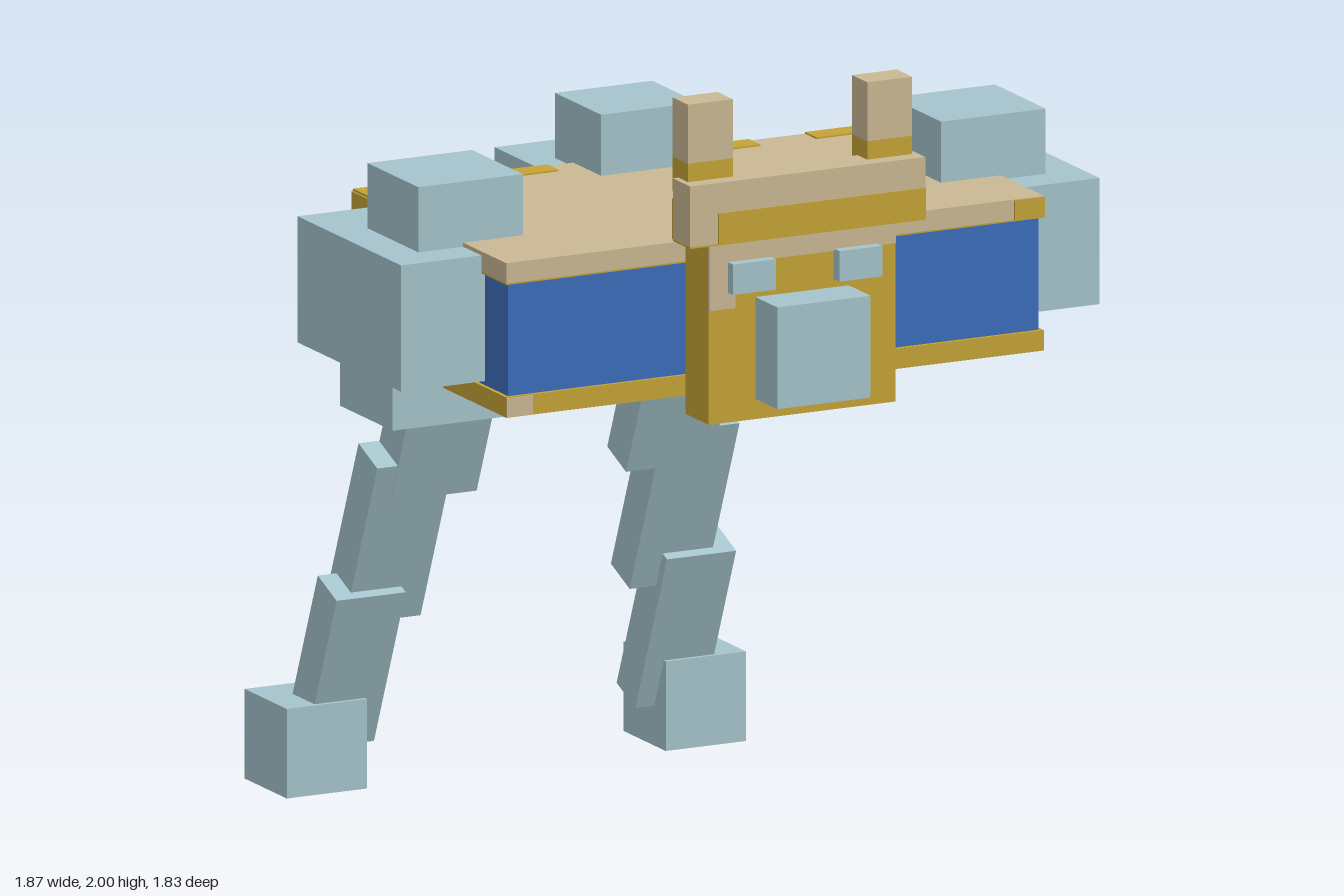
import * as THREE from 'three';

const mat = (name, color) => {
  const m = new THREE.MeshStandardMaterial({ color });
  m.name = name;
  return m;
};

export function createModel() {
  const pale = mat('pale blue', 0xa5c4cc);
  const tan = mat('tan', 0xcab894);
  const gold = mat('gold', 0xc5a337);
  const blue = mat('blue', 0x3c6dba);
  const model = new THREE.Group();
  model.name = 'walker';

  // box from its extents on each axis
  const box = (name, material, [x0, x1], [y0, y1], [z0, z1], parent = model) => {
    const mesh = new THREE.Mesh(new THREE.BoxGeometry(x1 - x0, y1 - y0, z1 - z0), material);
    mesh.position.set((x0 + x1) / 2, (y0 + y1) / 2, (z0 + z1) / 2);
    mesh.name = name;
    parent.add(mesh);
    return mesh;
  };
  // the same box on both sides
  const pair = (name, material, [x0, x1], y, z) => {
    box('left' + name, material, [x0, x1], y, z);
    box('right' + name, material, [-x1, -x0], y, z);
  };
  const T = 0.004; // thickness of painted patches

  // body core between two deck plates
  box('bodyCore', blue, [-0.71, 0.71], [1.3, 1.58], [-0.13, 0.65]);
  box('upperDeck', tan, [-0.72, 0.72], [1.58, 1.63], [-0.14, 0.66]);
  box('lowerDeck', gold, [-0.72, 0.72], [1.25, 1.3], [-0.14, 0.66]);

  // worn gold patches on the upper deck
  for (const [x, z] of [
    [[-0.72, -0.2], [-0.14, -0.08]],
    [[-0.72, -0.65], [-0.08, 0.07]],
    [[0.12, 0.34], [-0.14, -0.08]],
    [[0.49, 0.64], [-0.14, -0.08]],
  ]) box('deckPatch', gold, x, [1.63 - T, 1.63 + T], z);
  box('deckBackEdge', gold, [-0.72, 0.72], [1.58, 1.628], [-0.14 - T, -0.14 + T]);
  box('deckLeftEdge', gold, [0.72 - T, 0.72 + T], [1.58, 1.628], [-0.14, -0.07]);
  box('deckRightEdge', gold, [-0.72 - T, -0.72 + T], [1.58, 1.628], [-0.14, 0.07]);
  box('deckFrontPatch', gold, [0.64, 0.72], [1.58, 1.628], [0.66 - T, 0.66 + T]);
  box('deckUnderside', gold, [-0.72, 0.72], [1.58 - T, 1.58 + T], [-0.139, 0.659]);
  box('lowerDeckPatch', tan, [-0.72, -0.65], [1.252, 1.298], [0.66 - T, 0.66 + T]);

  // side pods with caps above and below
  pair('Pod', pale, [0.6, 0.935], [1.31, 1.62], [-0.01, 0.53]);
  pair('PodTop', pale, [0.56, 0.84], [1.6, 1.78], [0.17, 0.435]);
  pair('PodBottom', pale, [0.54, 0.855], [1.16, 1.33], [0.055, 0.33]);

  // rear pod
  box('rearPod', pale, [-0.21, 0.21], [1.31, 1.62], [-0.395, -0.1]);
  box('rearPodTop', pale, [-0.13, 0.13], [1.6, 1.78], [-0.235, 0.005]);
  box('rearPodBottom', pale, [-0.14, 0.14], [1.165, 1.33], [-0.335, -0.09]);

  // head slab with brow, horns, eyes and snout
  box('head', gold, [-0.25, 0.25], [1.21, 1.78], [0.68, 0.8]);
  box('headFrontTop', tan, [-0.25, 0.25], [1.6, 1.66], [0.8 - T, 0.8 + T]);
  box('headFrontCorner', tan, [-0.25, -0.18], [1.49, 1.6], [0.8 - T, 0.8 + T]);
  box('headBackPatch', tan, [-0.2, 0.18], [1.68, 1.74], [0.68 - T, 0.68 + T]);
  box('headTopPatch', tan, [0.18, 0.25], [1.78 - T, 1.78 + T], [0.68, 0.74]);
  box('brow', tan, [-0.315, 0.315], [1.66, 1.81], [0.74, 0.83]);
  box('browFrontPatch', gold, [-0.24, 0.315], [1.66, 1.735], [0.83 - T, 0.83 + T]);
  box('browUnderside', gold, [-0.315, 0.315], [1.66 - T, 1.66 + T], [0.74, 0.83]);
  box('browBack', gold, [-0.315, 0.315], [1.66, 1.76], [0.74 - T, 0.74 + T]);
  pair('HornBase', gold, [0.18, 0.3], [1.77, 1.855], [0.71, 0.79]);
  pair('HornTip', tan, [0.18, 0.3], [1.855, 2], [0.71, 0.79]);
  pair('Eye', pale, [0.085, 0.2], [1.53, 1.605], [0.79, 0.83]);
  box('snout', pale, [-0.125, 0.125], [1.26, 1.51], [0.79, 0.915]);

  // tilted leg segment: x range, middle of its top end (y, z), length, backward tilt
  const segment = (name, [x0, x1], y, z, length, tilt) => {
    for (const s of [1, -1]) {
      const mesh = new THREE.Mesh(new THREE.BoxGeometry(x1 - x0, length, 0.106), pale);
      mesh.position.set(
        s * (x0 + x1) / 2,
        y - Math.cos(tilt) * length / 2,
        z - Math.sin(tilt) * length / 2
      );
      mesh.rotation.x = tilt;
      mesh.name = (s > 0 ? 'left' : 'right') + name;
      model.add(mesh);
    }
  };
  segment('Hip', [0.13, 0.38], 1.435, -0.115, 0.44, 0.8);
  segment('Thigh', [0.2, 0.43], 1.2, -0.38, 0.465, 0.39);
  segment('Shin', [0.28, 0.485], 0.865, -0.52, 0.457, 0.39);
  segment('Ankle', [0.35, 0.535], 0.52, -0.635, 0.435, 0.39);
  pair('Foot', pale, [0.4, 0.615], [0, 0.22], [-0.91, -0.69]);

  return model;
}
